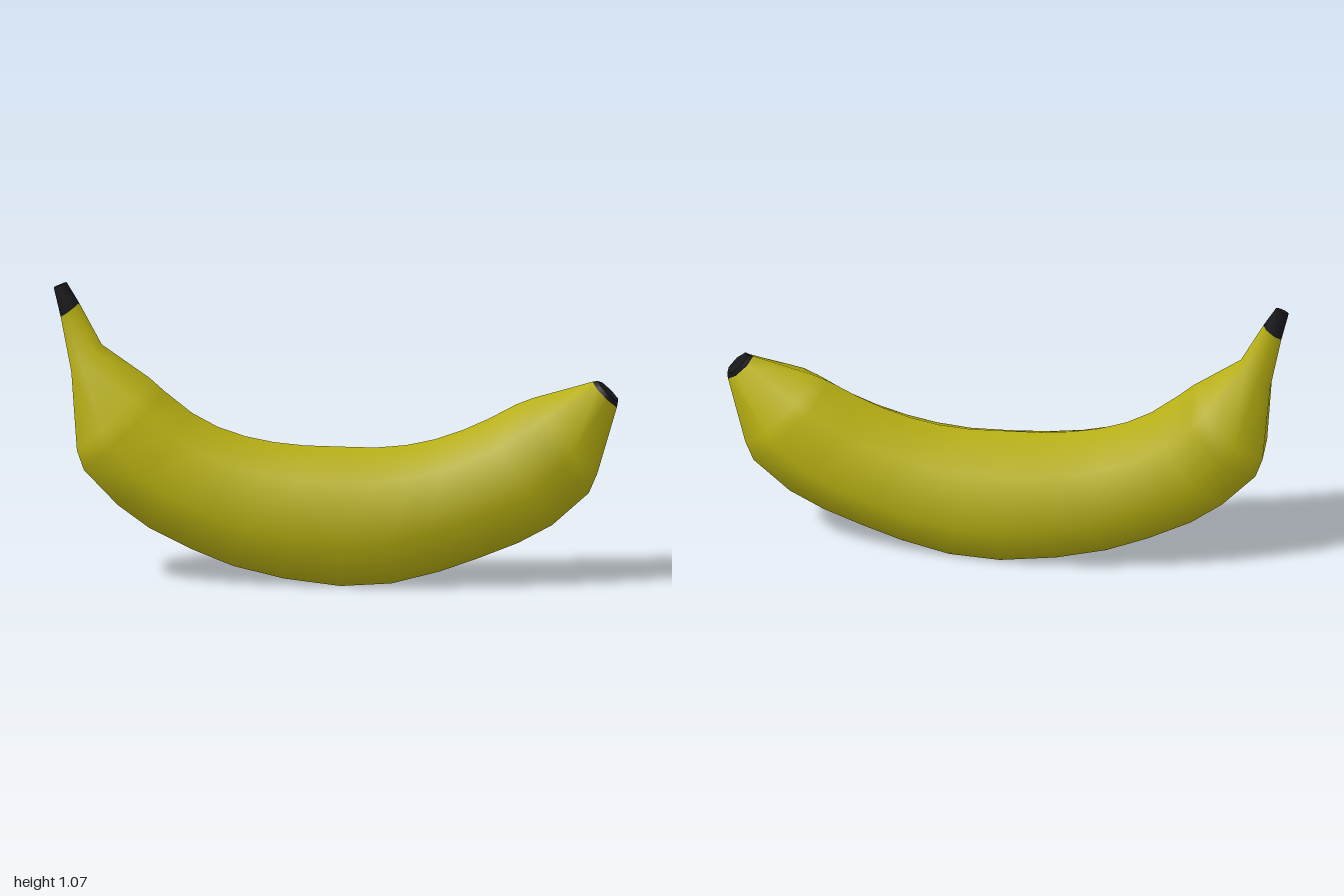
import * as THREE from 'three';

const SIDES = 7;
const PEEL = new THREE.MeshStandardMaterial({ color: 0xb8b012 });
const DARK = new THREE.MeshStandardMaterial({ color: 0x17171a });

// Each ring: [inner x, inner y, outer x, outer y, half width]
const STEM_END = [-0.955, 1.075, -1.0, 1.055, 0.01];
const STEM_BASE = [-0.91, 1.0, -0.975, 0.95, 0.022];
const BLOSSOM_BASE = [0.91, 0.733, 0.997, 0.645, 0.048];
const BLOSSOM_END = [0.928, 0.736, 1.0, 0.667, 0.048];

const BODY = [
  STEM_BASE,
  [-0.83, 0.85, -0.937, 0.755, 0.05],
  [-0.66, 0.73, -0.915, 0.48, 0.155],
  [-0.61, 0.685, -0.89, 0.41, 0.163],
  [-0.51, 0.605, -0.77, 0.285, 0.17],
  [-0.42, 0.556, -0.66, 0.205, 0.177],
  [-0.32, 0.522, -0.51, 0.13, 0.184],
  [-0.22, 0.502, -0.36, 0.07, 0.19],
  [-0.11, 0.491, -0.18, 0.027, 0.195],
  [0.02, 0.488, 0.02, 0.002, 0.197],
  [0.14, 0.486, 0.2, 0.013, 0.195],
  [0.25, 0.496, 0.37, 0.057, 0.19],
  [0.35, 0.518, 0.51, 0.107, 0.184],
  [0.45, 0.553, 0.65, 0.163, 0.177],
  [0.54, 0.594, 0.77, 0.228, 0.17],
  [0.64, 0.648, 0.9, 0.345, 0.162],
  [0.7, 0.672, 0.93, 0.415, 0.15],
  BLOSSOM_BASE,
];

// Seven-sided ring with a flat outer side and its ridge on the inner curve
function ringPoints([ix, iy, ox, oy, w]) {
  const low = Math.cos(Math.PI / SIDES);
  return Array.from({ length: SIDES }, (_, j) => {
    const a = ((2 * j + 1) * Math.PI) / SIDES;
    const f = (low - Math.cos(a)) / (1 + low);
    return [ox + (ix - ox) * f, oy + (iy - oy) * f, (Math.sin(a) * w) / 0.975];
  });
}

function makeMesh(name, points, index, material) {
  const geometry = new THREE.BufferGeometry();
  geometry.setAttribute('position', new THREE.Float32BufferAttribute(points.flat(), 3));
  geometry.setIndex(index);
  geometry.computeVertexNormals();
  const mesh = new THREE.Mesh(geometry, material);
  mesh.name = name;
  return mesh;
}

// Smooth skin through a row of rings
function skin(name, rings, material) {
  const index = [];
  for (let i = 0; i < rings.length - 1; i++) {
    for (let j = 0; j < SIDES; j++) {
      const k = (j + 1) % SIDES;
      const a = i * SIDES + j, b = a + SIDES;
      const c = (i + 1) * SIDES + k, d = i * SIDES + k;
      index.push(a, b, c, a, c, d);
    }
  }
  return makeMesh(name, rings.flatMap(ringPoints), index, material);
}

// Flat face closing one end
function cap(name, ring, material, facesRight) {
  const index = [];
  for (let j = 1; j < SIDES - 1; j++) {
    if (facesRight) index.push(0, j + 1, j);
    else index.push(0, j, j + 1);
  }
  return makeMesh(name, ringPoints(ring), index, material);
}

export function createModel() {
  const banana = new THREE.Group();
  banana.name = 'banana';
  banana.add(skin('peel', BODY, PEEL));

  // Dark cut stem
  const stem = new THREE.Group();
  stem.name = 'stemTip';
  stem.add(skin('stemSide', [STEM_END, STEM_BASE], DARK), cap('stemFace', STEM_END, DARK, false));

  // Dark blossom end
  const blossom = new THREE.Group();
  blossom.name = 'blossomTip';
  blossom.add(
    skin('blossomSide', [BLOSSOM_BASE, BLOSSOM_END], DARK),
    cap('blossomFace', BLOSSOM_END, DARK, true),
  );

  banana.add(stem, blossom);
  return banana;
}
